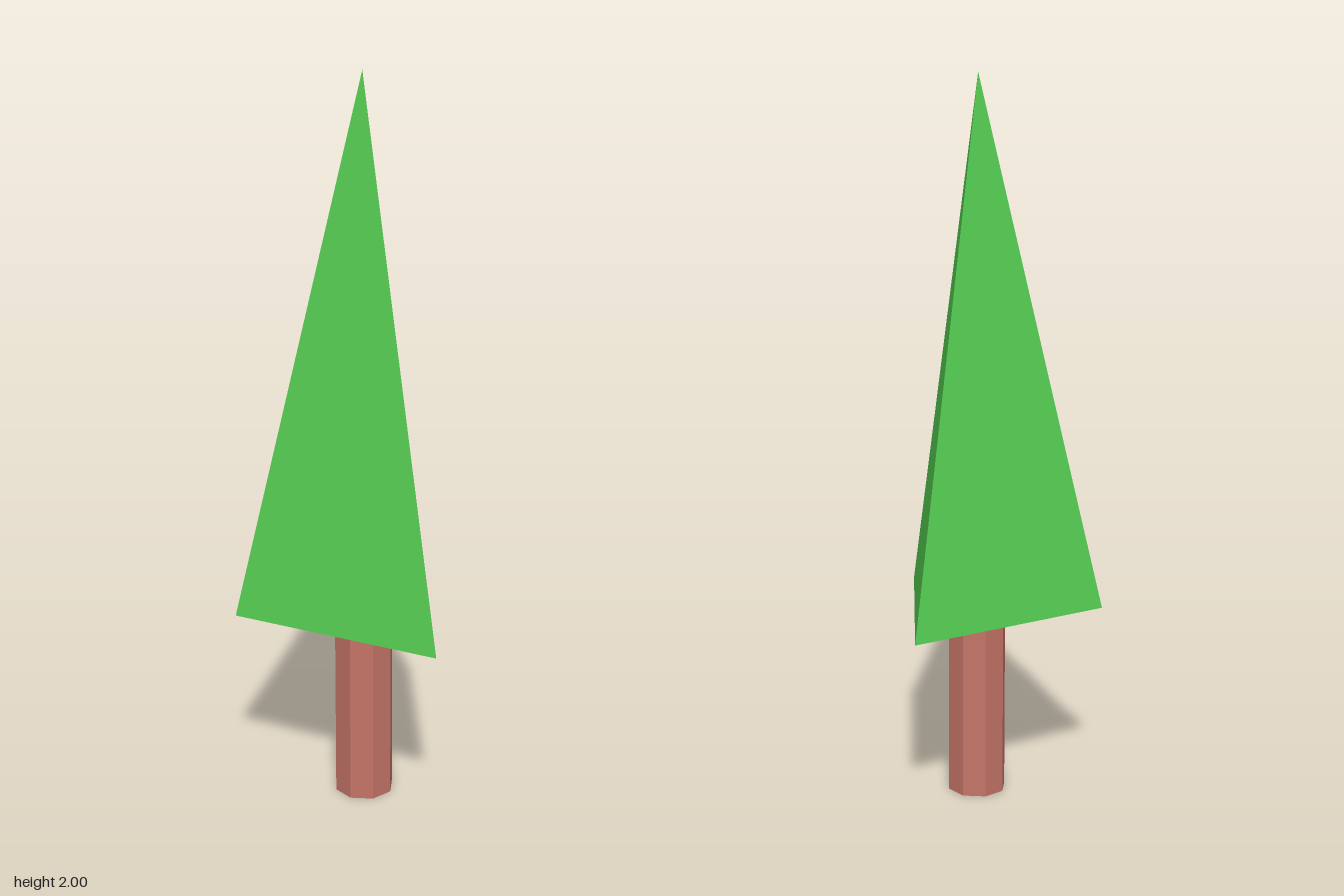
import * as THREE from 'three';

export function createModel() {
  const tree = new THREE.Group();
  tree.name = 'tree';

  const axisZ = 0.087;      // the tree's axis sits forward of the centre
  const foliageBase = 0.528;
  const top = 2;

  const addPart = (name, geometry, color, bottom, height) => {
    const material = new THREE.MeshStandardMaterial({ color, flatShading: true });
    const mesh = new THREE.Mesh(geometry, material);
    mesh.name = name;
    mesh.position.set(0, bottom + height / 2, axisZ);
    tree.add(mesh);
    return mesh;
  };

  // Eight-sided trunk
  addPart('trunk', new THREE.CylinderGeometry(0.082, 0.082, foliageBase, 8), 0xc47467, 0, foliageBase);

  // Three-sided foliage, one corner pointing back
  const height = top - foliageBase;
  const foliage = addPart('foliage', new THREE.ConeGeometry(0.349, height, 3), 0x55cc52, foliageBase, height);
  foliage.rotation.y = Math.PI;

  return tree;
}
